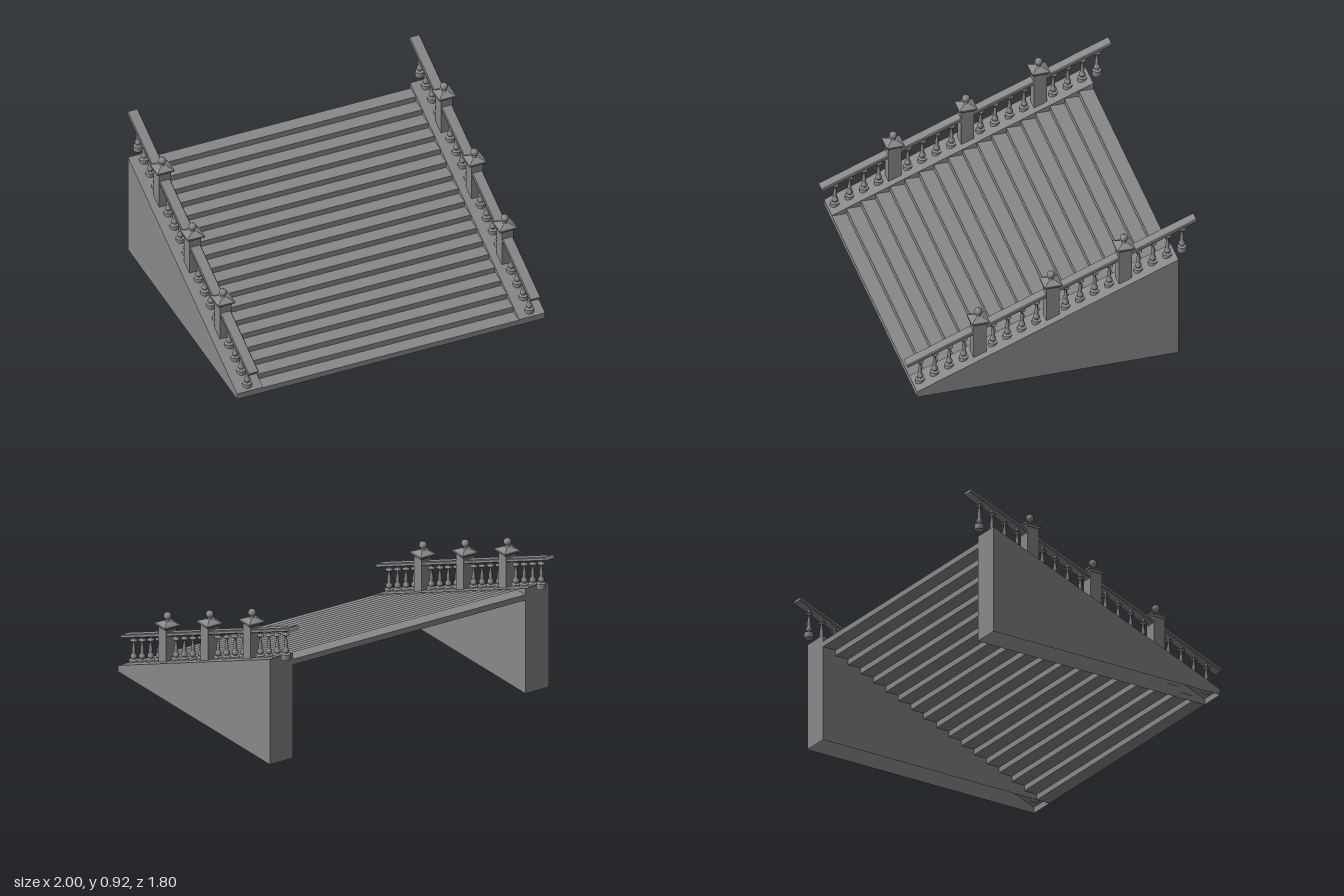
import * as THREE from 'three';

const FRONT = 0.85, BACK = -0.768, SLOPE = 0.4;
const WALL_IN = 0.832, WALL_OUT = 1, RAIL_X = 0.915;
const lineY = (z) => 0.379 - SLOPE * z; // top of the side walls

const mat = new THREE.MeshStandardMaterial({ color: 0x888888 });
const shellMat = new THREE.MeshStandardMaterial({ color: 0x888888, side: THREE.DoubleSide });

function add(parent, name, geometry, x = 0, y = 0, z = 0, material = mat) {
  const mesh = new THREE.Mesh(geometry, material);
  mesh.name = name;
  mesh.position.set(x, y, z);
  parent.add(mesh);
  return mesh;
}

// Hollow wedge wall, open underneath
function wallGeometry(x0, x1) {
  const p = [[FRONT, 0], [FRONT, lineY(FRONT)], [BACK, lineY(BACK)], [BACK, 0]];
  const pos = [];
  const quad = (...c) => [0, 1, 2, 0, 2, 3].forEach((i) => pos.push(...c[i]));
  const at = (x, i) => [x, p[i][1], p[i][0]];
  for (let k = 0; k < 3; k++) quad(at(x0, k), at(x1, k), at(x1, k + 1), at(x0, k + 1));
  quad(at(x1, 0), at(x1, 3), at(x1, 2), at(x1, 1));
  quad(at(x0, 0), at(x0, 1), at(x0, 2), at(x0, 3));
  const g = new THREE.BufferGeometry();
  g.setAttribute('position', new THREE.Float32BufferAttribute(pos, 3));
  g.computeVertexNormals();
  return g;
}

// Square frustum given by its full bottom and top widths
function frustum(bottom, top, height) {
  const g = new THREE.CylinderGeometry(top * Math.SQRT1_2, bottom * Math.SQRT1_2, height, 4, 1).toNonIndexed();
  g.rotateY(Math.PI / 4);
  g.computeVertexNormals();
  return g;
}

// Handrail bar with bevelled long edges, centred on the origin
function railGeometry(width, height, bevel, length) {
  const w = width / 2, h = height / 2, b = bevel;
  const outline = [[-w + b, -h], [w - b, -h], [w, -h + b], [w, h - b], [w - b, h], [-w + b, h], [-w, h - b], [-w, -h + b]];
  const shape = new THREE.Shape(outline.map(([x, y]) => new THREE.Vector2(x, y)));
  return new THREE.ExtrudeGeometry(shape, { depth: length, bevelEnabled: false }).translate(0, 0, -length / 2);
}

const lathe = (points, sides) =>
  new THREE.LatheGeometry(points.map(([r, y]) => new THREE.Vector2(r, y)), sides);

// Turned baluster: drum base, bulb, slender neck, collar and flared top
const balusterGeometry = lathe([
  [0, 0], [0.028, 0], [0.028, 0], [0.029, 0.018], [0.028, 0.035], [0.028, 0.035], [0.013, 0.038],
  [0.011, 0.043], [0.018, 0.049], [0.02, 0.057], [0.017, 0.067], [0.01, 0.076],
  [0.012, 0.09], [0.011, 0.105], [0.007, 0.135], [0.007, 0.155],
  [0.022, 0.158], [0.022, 0.164], [0.008, 0.167], [0.008, 0.176], [0.012, 0.188], [0.012, 0.2],
], 16);

const finialGeometry = lathe([
  [0.018, 0], [0.012, 0.006], [0.01, 0.012], [0.017, 0.018], [0.023, 0.028],
  [0.024, 0.036], [0.021, 0.047], [0.012, 0.056], [0, 0.059],
], 16);

// Newel post with moulded cap and ball finial, origin on the wall slope
function newelPost() {
  const post = new THREE.Group();
  post.name = 'newelPost';
  add(post, 'postBody', new THREE.BoxGeometry(0.076, 0.25, 0.08), 0, 0.1, 0);
  add(post, 'capMoulding', frustum(0.08, 0.1, 0.014), 0, 0.226, 0);
  add(post, 'capPlate', new THREE.BoxGeometry(0.112, 0.01, 0.112), 0, 0.238, 0);
  add(post, 'capPyramid', frustum(0.106, 0.036, 0.018), 0, 0.252, 0);
  add(post, 'finial', finialGeometry, 0, 0.258, 0);
  return post;
}

export function createModel() {
  const model = new THREE.Group();
  model.name = 'staircase';

  // Flight of steps, its ends let slightly into the walls
  const steps = new THREE.Group();
  steps.name = 'steps';
  model.add(steps);
  const count = 18, run = (FRONT - BACK) / count, rise = 0.645 / count;
  const stepGeometry = new THREE.BoxGeometry(2 * WALL_IN + 0.006, rise, run);
  for (let i = 0; i < count; i++)
    add(steps, 'step', stepGeometry, 0, (i + 0.5) * rise, FRONT - (i + 0.5) * run);

  for (const side of [1, -1]) {
    const name = side > 0 ? 'left' : 'right';
    const [x0, x1] = side > 0 ? [WALL_IN, WALL_OUT] : [-WALL_OUT, -WALL_IN];
    add(model, name + 'Wall', wallGeometry(x0, x1), 0, 0, 0, shellMat);

    // Balustrade: every fifth place is a post
    const balustrade = new THREE.Group();
    balustrade.name = name + 'Balustrade';
    balustrade.position.x = side * RAIL_X;
    model.add(balustrade);
    for (let i = -9; i <= 9; i++) {
      const z = i * 0.09 - 0.003;
      if (i % 5 === 0) {
        const post = newelPost();
        post.position.set(0, lineY(z), z);
        balustrade.add(post);
      } else {
        add(balustrade, 'baluster', balusterGeometry, 0, lineY(z) - 0.02, z);
      }
    }

    // Sloping handrail
    const rail = add(balustrade, 'handrail', railGeometry(0.07, 0.023, 0.005, 1.93), 0, lineY(0) + 0.176, 0);
    rail.rotation.x = Math.atan(SLOPE);
  }
  return model;
}
